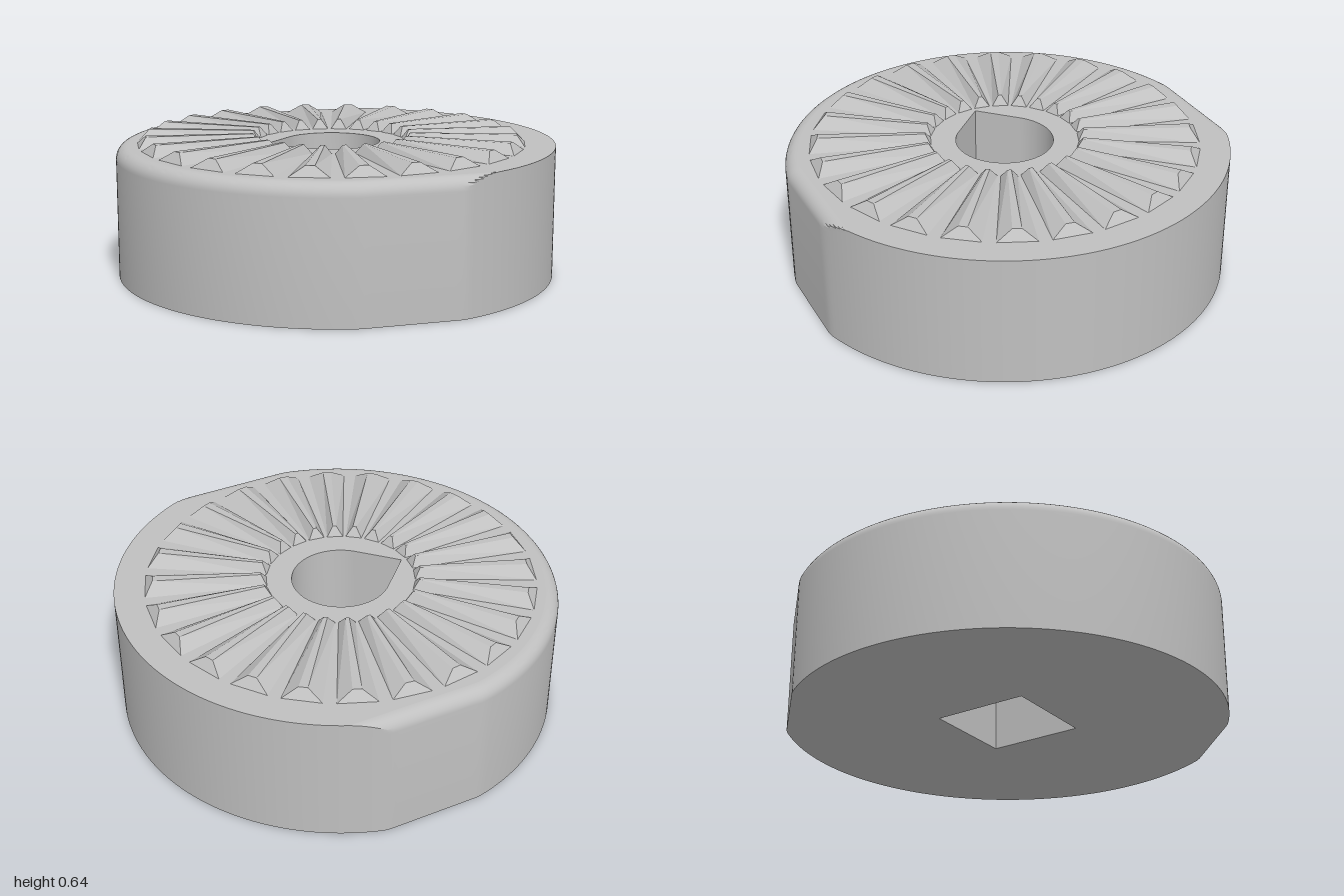
import * as THREE from 'three';
import { toCreasedNormals } from 'three/addons/utils/BufferGeometryUtils.js';

const CX = -0.02;      // axis of the hole and the tooth ring
const TOP = 0.6;       // height of the flat top face
const POCKET = 0.25;   // depth of the square socket underneath
const FILLET = 0.06;
const HOLE = 0.222;
const TEETH = 24;

// Walls between stacked loops of [x, z] points, facing outward
function loft(loops, heights) {
  const pos = [];
  for (let k = 0; k + 1 < loops.length; k++) {
    const n = loops[k].length;
    for (let i = 0; i < n; i++) {
      const j = (i + 1) % n;
      const at = (l, m) => [loops[l][m][0], heights[l], loops[l][m][1]];
      const a = at(k, i), b = at(k, j), c = at(k + 1, j), d = at(k + 1, i);
      pos.push(...a, ...d, ...c, ...a, ...c, ...b);
    }
  }
  return soup(pos);
}

function soup(pos) {
  const g = new THREE.BufferGeometry();
  g.setAttribute('position', new THREE.Float32BufferAttribute(pos, 3));
  g.computeVertexNormals();
  return g;
}

// Flat face from loops of points, facing up or down
function cap(outer, hole, y, up) {
  const toVec = (loop) => loop.map(([x, z]) => new THREE.Vector2(x, up ? -z : z));
  const shape = new THREE.Shape(toVec(outer));
  if (hole) shape.holes.push(new THREE.Path(toVec(hole)));
  return new THREE.ShapeGeometry(shape).rotateX(up ? -Math.PI / 2 : Math.PI / 2).translate(0, y, 0);
}

// Body outline: large arc on the right, two flats, and an insettable left arc
function outline(inset) {
  const loop = [], n = 240;
  for (let i = 0; i < n; i++) {
    const a = (i / n) * Math.PI * 2, c = Math.cos(a), s = Math.sin(a);
    let r = 1.02;
    if (Math.abs(s) > 0.01) r = Math.min(r, (0.982 - inset) / Math.abs(s));
    if (c < 0) {
      const R = 1 - inset;
      r = Math.min(r, -CX * c + Math.sqrt(R * R - CX * CX * s * s));
    }
    loop.push([CX + r * c, r * s]);
  }
  return loop;
}

function arc(from, to, n) {
  return Array.from({ length: n + 1 }, (_, i) => {
    const a = from + ((to - from) * i) / n;
    return [CX + HOLE * Math.cos(a), HOLE * Math.sin(a)];
  });
}

export function createModel() {
  const group = new THREE.Group();
  const grey = new THREE.MeshStandardMaterial({ color: 0xc0c0c0 });
  grey.name = 'plain grey';
  const add = (name, geometry, parent = group) => {
    const mesh = new THREE.Mesh(geometry, grey);
    mesh.name = name;
    parent.add(mesh);
    return mesh;
  };

  // Outer wall, with a rounded top edge on the left and the flats
  const loops = [outline(0), outline(0)], heights = [0, TOP - FILLET];
  for (let i = 1; i <= 8; i++) {
    const a = (i / 8) * Math.PI / 2;
    loops.push(outline(FILLET * (1 - Math.cos(a))));
    heights.push(TOP - FILLET + FILLET * Math.sin(a));
  }
  add('outerWall', toCreasedNormals(loft(loops, heights), 0.45));

  // Teardrop bore above a square socket that shares its tangent sides
  const P = Math.PI, tip = HOLE * Math.SQRT2;
  const teardrop = [...arc(-0.75 * P, 0.75 * P, 60), [CX - tip, 0]];
  const square = [[CX + tip, 0], [CX, tip], [CX - tip, 0], [CX, -tip]];
  const inward = (loop) => [...loop].reverse();
  add('topFace', cap(outline(FILLET), teardrop, TOP, true));
  add('bottomFace', cap(outline(0), square, 0, false));
  add('boreWall', toCreasedNormals(loft([inward(teardrop), inward(teardrop)], [POCKET, TOP]), 0.5));
  add('socketWall', loft([inward(square), inward(square)], [0, POCKET]));

  // Socket ceiling: the three corners outside the round bore
  for (const a of [-P / 2, 0, P / 2]) {
    const corner = [CX + tip * Math.cos(a), tip * Math.sin(a)];
    add('socketCeiling', cap([corner, ...arc(a + P / 4, a - P / 4, 20)], null, POCKET, false));
  }

  // Ring of radial teeth with sloped flanks, sloped ends and a narrow crest
  const footprint = (ri, ti, ro, to) => [[ro, -to], [ro, to], [ri, ti], [ri, -ti]];
  const base = footprint(0.335, 0.037, 0.88, 0.087);
  const crest = footprint(0.36, 0.008, 0.845, 0.02);
  const flanks = loft([base, crest], [TOP, 0.643]);
  const crestFace = cap(crest, null, 0.643, true);
  const ring = new THREE.Group();
  ring.name = 'toothRing';
  ring.position.x = CX;
  for (let i = 0; i < TEETH; i++) {
    const tooth = new THREE.Group();
    tooth.name = 'tooth';
    tooth.rotation.y = ((i + 0.5) / TEETH) * P * 2;
    add('toothFlanks', flanks, tooth);
    add('toothCrest', crestFace, tooth);
    ring.add(tooth);
  }
  group.add(ring);
  return group;
}
